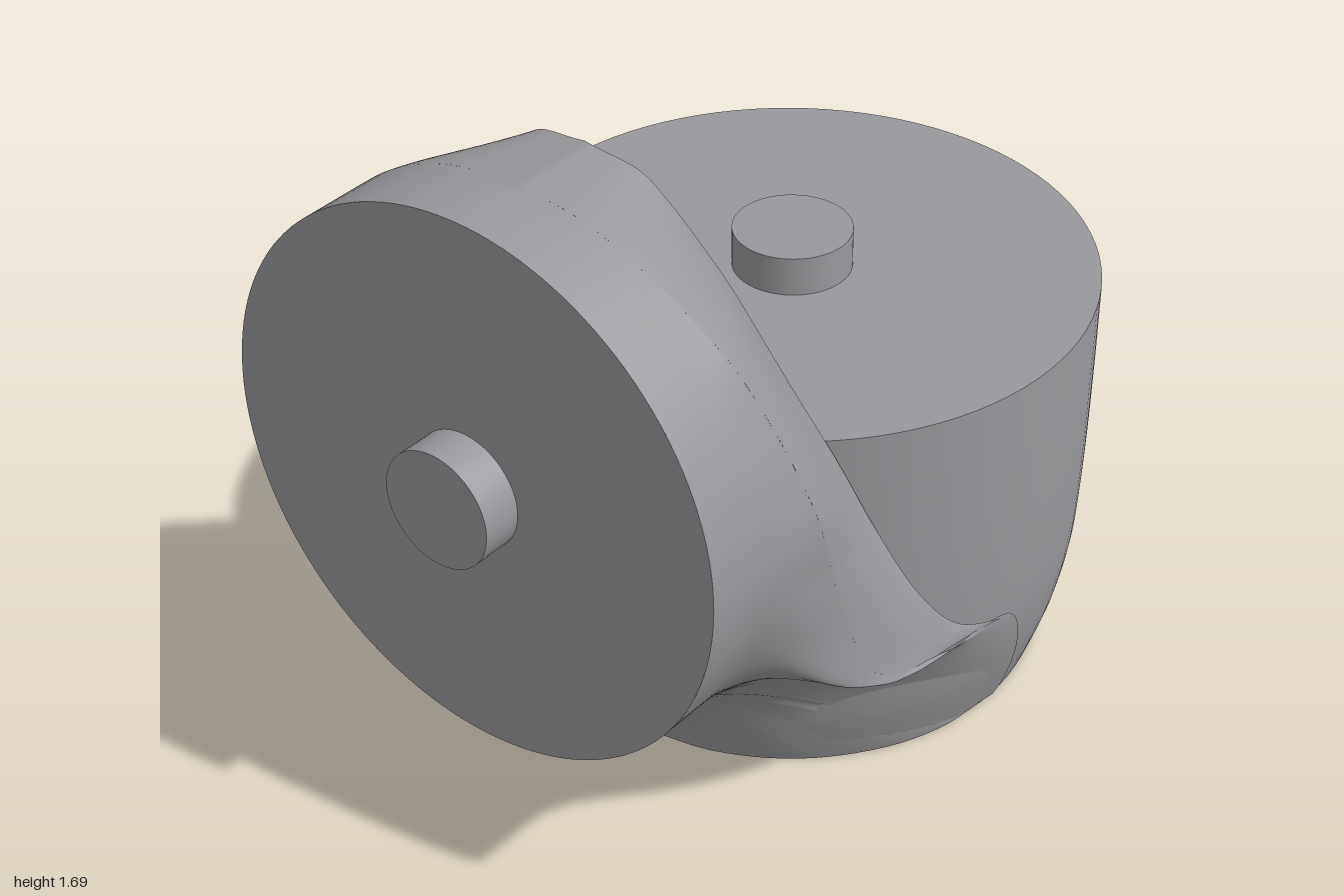
import * as THREE from 'three';
import { ParametricGeometry } from 'three/addons/geometries/ParametricGeometry.js';

const AXIS_Z = -0.26, SCOOP_R = 0.742, HEAD_Y = 1.01, HEAD_R = 0.68, FACE_Z = 0.9, RIM_Z = 0.75;
const V = (x, y, z) => new THREE.Vector3(x, y, z);
const rad = THREE.MathUtils.degToRad;
const onScoop = (x, y) => V(x, y, AXIS_Z + Math.sqrt(SCOOP_R ** 2 - x * x));

// Upper half of the neck: head angle from the top, crease point, point on the scooped edge
const upper = [
  [0, V(0, 1.69, 0.71), onScoop(0, 1.688)],
  [15, V(0.176, 1.667, 0.705), onScoop(0.14, 1.66)],
  [28, V(0.319, 1.61, 0.7), onScoop(0.21, 1.595)],
  [42, V(0.455, 1.515, 0.68), onScoop(0.28, 1.5)],
  [55, V(0.557, 1.4, 0.65), onScoop(0.345, 1.39)],
  [85, V(0.675, 1.06, 0.55), onScoop(0.51, 1.0)],
  [100, V(0.672, 0.82, 0.47), onScoop(0.582, 0.77)],
  [110, V(0.662, 0.6, 0.38), onScoop(0.646, 0.55)],
  [118, V(0.668, 0.45, 0.3), onScoop(0.69, 0.425)],
  [126, V(0.69, 0.375, 0.15), onScoop(0.73, 0.37)],
];
const rows = upper.map(([a, m]) => [a, m, V(0, 0, -1)]);
// Lower half: down the side of the base, then round its foot to the front
rows.push([135, V(0.722, 0.355, -0.17), V(0, 0.2, -1)]);
rows.push([143, V(0.695, 0.19, -0.26), V(0, 0, -1)]);
[90, 75, 60, 40, 20, 0].forEach((deg, i) => {
  const s = Math.sin(rad(deg)), c = Math.cos(rad(deg));
  rows.push([150 + i * 6, V(0.634 * s, 0, AXIS_Z + 0.634 * c),
    V(s * c - 0.4 * s * c, -c - 0.1 * s, -s * s - 0.4 * c * c)]);
});

const N = rows.length - 1, U = upper.length - 1;
const crease = new THREE.CatmullRomCurve3(rows.map((r) => r[1]));
const tangents = new THREE.CatmullRomCurve3(rows.map((r) => r[2]));
const edge = new THREE.CatmullRomCurve3(upper.map((r) => r[2]));

function creaseAt(k) {
  const p = crease.getPoint(Math.min(k / N, 1));
  p.y = Math.max(p.y, 0);
  return p;
}

function edgeAt(k) {
  const p = edge.getPoint(Math.min(k / U, 1));
  return onScoop(p.x, p.y);
}

// Straight head rim, then a smooth sweep to the crease and foot
function neckPoint(k, w) {
  const i = Math.min(Math.floor(k), N - 1);
  const a = rad(THREE.MathUtils.lerp(rows[i][0], rows[i + 1][0], k - i));
  const p = V(HEAD_R * Math.sin(a), HEAD_Y + HEAD_R * Math.cos(a), RIM_Z);
  if (w < 0.2) return p.setZ(THREE.MathUtils.lerp(FACE_Z, RIM_Z, w / 0.2));
  const v = (w - 0.2) / 0.8, v2 = v * v, v3 = v2 * v;
  const m = creaseAt(k), len = p.distanceTo(m);
  const t = tangents.getPoint(Math.min(k / N, 1)).setLength(len);
  return p.clone().multiplyScalar(2 * v3 - 3 * v2 + 1)
    .addScaledVector(V(0, 0, -len), v3 - 2 * v2 + v)
    .addScaledVector(m, 3 * v2 - 2 * v3)
    .addScaledVector(t, v3 - v2);
}

// Gently rounded shoulder from the crease to the scooped edge
function shoulderPoint(k, v) {
  const m = creaseAt(k), q = edgeAt(k);
  const c = m.clone().lerp(q, 0.3).lerp(V(m.x, m.y, (m.z + q.z) / 2), 0.5);
  return m.multiplyScalar((1 - v) ** 2).addScaledVector(c, 2 * v * (1 - v)).addScaledVector(q, v * v);
}

// Symmetric surface: u runs from the right side over the top to the left side
function mirrored(point, count, uSteps, vSteps) {
  return new ParametricGeometry((u, v, out) => {
    const s = u * 2 - 1;
    out.copy(point(Math.abs(s) * count, v));
    if (s < 0) out.x *= -1;
  }, uSteps, vSteps);
}

export function createModel() {
  const group = new THREE.Group();
  const grey = new THREE.MeshStandardMaterial({ color: 0x99999d });
  const shell = new THREE.MeshStandardMaterial({ color: 0x99999d, side: THREE.DoubleSide });
  const dark = new THREE.MeshStandardMaterial({ color: 0x2c2a31 });
  const add = (name, geometry, material = grey, x = 0, y = 0, z = 0) => {
    const mesh = new THREE.Mesh(geometry, material);
    mesh.name = name;
    mesh.position.set(x, y, z);
    group.add(mesh);
  };
  const vectors = (pts) => pts.map(([r, y]) => new THREE.Vector2(r, y));

  // Round base with a tapered foot
  const profile = new THREE.SplineCurve(vectors([[0.63, 0], [0.665, 0.1], [0.69, 0.19], [0.714, 0.33],
    [0.727, 0.55], [0.734, 0.8], [0.737, 1.01]]));
  add('baseWall', new THREE.LatheGeometry(profile.getPoints(30), 96), grey, 0, 0, AXIS_Z);
  add('baseTop', new THREE.CircleGeometry(0.737, 96).rotateX(-Math.PI / 2), grey, 0, 1.01, AXIS_Z);
  add('topPin', new THREE.CylinderGeometry(0.145, 0.145, 0.12, 48), grey, 0, 1.05, AXIS_Z);

  // Underside: dark foot ring round a shallow recess
  add('footRing', new THREE.RingGeometry(0.51, 0.63, 96).rotateX(Math.PI / 2), dark, 0, 0, AXIS_Z);
  add('recessWall', new THREE.LatheGeometry(vectors([[0.51, 0.04], [0.51, 0]]), 96), grey, 0, 0, AXIS_Z);
  add('recessFloor', new THREE.CircleGeometry(0.51, 96).rotateX(Math.PI / 2), grey, 0, 0.04, AXIS_Z);

  // Flat face of the head with its pin
  add('headFace', new THREE.CircleGeometry(HEAD_R, 128), grey, 0, HEAD_Y, FACE_Z);
  add('frontPin', new THREE.CylinderGeometry(0.145, 0.145, 0.12, 48).rotateX(Math.PI / 2),
    grey, 0, HEAD_Y, 0.94);

  // Head rim and neck down to the base, with the scoop behind the head
  add('neck', mirrored(neckPoint, N, 170, 30), shell);
  add('shoulder', mirrored(shoulderPoint, U, 120, 12), shell);
  add('scoopWall', new ParametricGeometry((u, v, out) => {
    const q = edgeAt(v * U);
    out.copy(onScoop(q.x * (u * 2 - 1), q.y));
  }, 40, 60), shell);
  return group;
}
